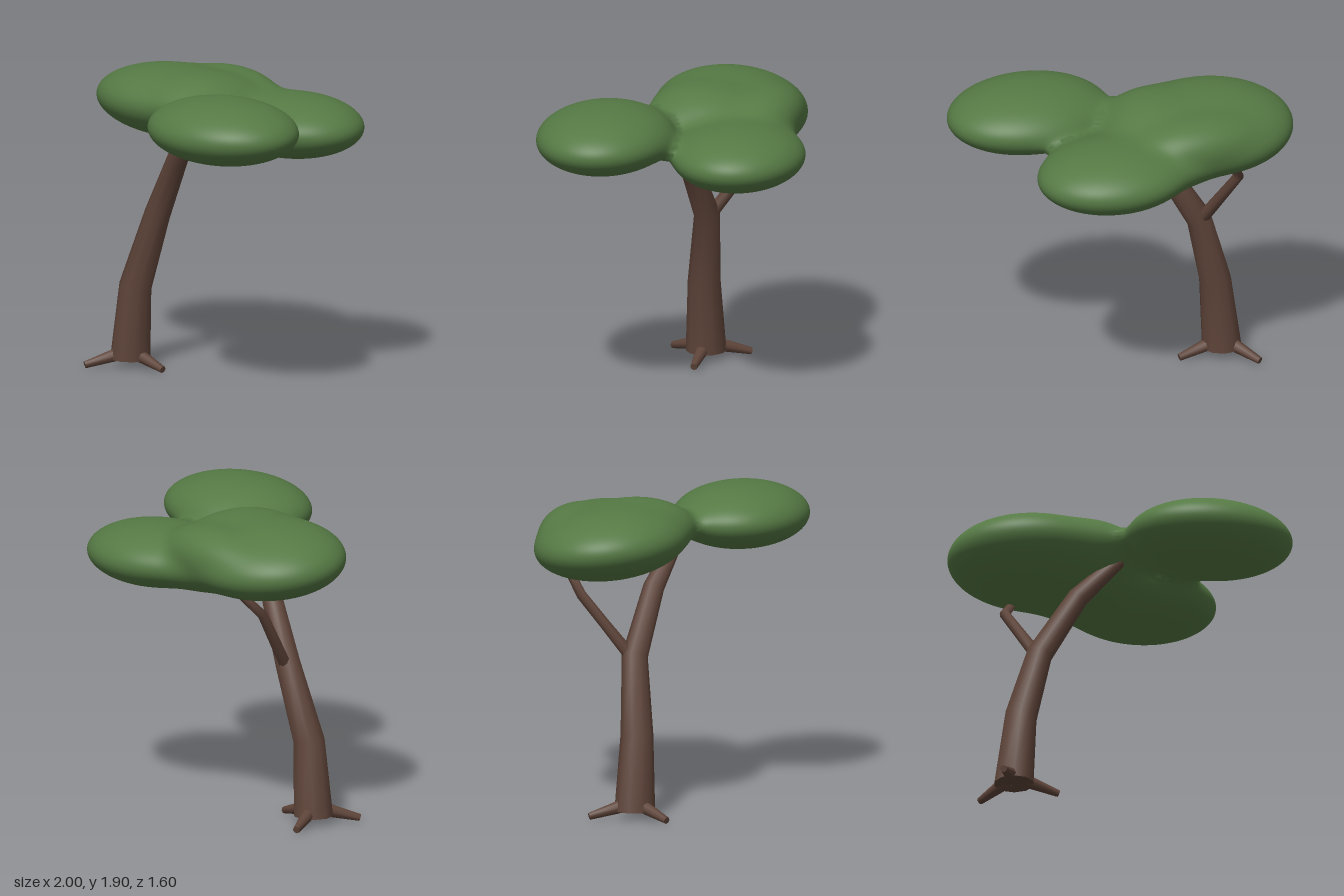
import * as THREE from 'three';
import { mergeVertices } from 'three/addons/utils/BufferGeometryUtils.js';

const V = (x, y, z) => new THREE.Vector3(x, y, z);

// Tapered limb through points [x, y, z, radius], with flat caps
function limb(points, sides) {
  const pts = points.map(p => V(p[0], p[1], p[2]));
  const last = pts.length - 1;
  const pos = [], index = [];
  const ring = (i) => {
    const t = V(0, 0, 0);
    if (i > 0) t.add(pts[i].clone().sub(pts[i - 1]).normalize());
    if (i < last) t.add(pts[i + 1].clone().sub(pts[i]).normalize());
    t.normalize();
    if (i === 0 && t.y > 0.9) t.set(0, 1, 0); // level foot
    const ref = Math.abs(t.y) > 0.6 ? V(0, 0, 1) : V(0, 1, 0);
    const u = ref.clone().cross(t).normalize();
    const w = t.clone().cross(u);
    for (let j = 0; j < sides; j++) {
      const a = j / sides * Math.PI * 2;
      const p = pts[i].clone()
        .addScaledVector(u, Math.cos(a) * points[i][3])
        .addScaledVector(w, Math.sin(a) * points[i][3]);
      pos.push(p.x, p.y, p.z);
    }
  };
  for (let i = 0; i <= last; i++) ring(i);
  for (let i = 0; i < last; i++) {
    for (let j = 0; j < sides; j++) {
      const a = i * sides + j, b = i * sides + (j + 1) % sides;
      index.push(a, b, b + sides, a, b + sides, a + sides);
    }
  }
  // Caps use their own vertices so that their edges stay sharp
  for (const end of [0, last]) {
    const s = pos.length / 3;
    ring(end);
    for (let j = 1; j < sides - 1; j++) {
      if (end) index.push(s, s + j, s + j + 1);
      else index.push(s, s + j + 1, s + j);
    }
  }
  const g = new THREE.BufferGeometry();
  g.setAttribute('position', new THREE.Float32BufferAttribute(pos, 3));
  g.setIndex(index);
  g.computeVertexNormals();
  return g;
}

// Foliage pads: centre, radii and tilt about x
const pads = [
  { name: 'leftFoliage', c: V(-0.46, 1.66, -0.15), r: V(0.54, 0.222, 0.46), tilt: -0.1 },
  { name: 'middleFoliage', c: V(-0.14, 1.655, -0.17), r: V(0.31, 0.212, 0.41), tilt: -0.2 },
  { name: 'rearFoliage', c: V(-0.28, 1.72, -0.42), r: V(0.34, 0.135, 0.19), tilt: 0 },
  { name: 'frontFoliage', c: V(0.49, 1.705, 0.39), r: V(0.51, 0.2, 0.41), tilt: 0 },
  { name: 'backFoliage', c: V(0.28, 1.587, -0.4), r: V(0.475, 0.192, 0.4), tilt: 0 },
];
const X = V(1, 0, 0);

// Soft union of the pads: above 1 is inside
function field(p) {
  let f = 0;
  for (const b of pads) {
    const q = p.clone().sub(b.c).applyAxisAngle(X, -b.tilt).divide(b.r);
    f += Math.exp(-3.3 * (q.lengthSq() - 1));
  }
  return f;
}

// Outward normal of the soft union
function slope(p) {
  const e = 0.002, f = field(p);
  return V(f - field(V(p.x + e, p.y, p.z)), f - field(V(p.x, p.y + e, p.z)),
    f - field(V(p.x, p.y, p.z + e))).normalize();
}

// A ball pushed out to the soft union, so neighbouring pads melt together
function foliage(pad) {
  let g = new THREE.IcosahedronGeometry(1, 20);
  g.deleteAttribute('uv');
  g.deleteAttribute('normal');
  g = mergeVertices(g);
  const pos = g.attributes.position, normals = [], d = V(0, 0, 0);
  for (let i = 0; i < pos.count; i++) {
    d.fromBufferAttribute(pos, i).multiply(pad.r).applyAxisAngle(X, pad.tilt);
    const at = s => pad.c.clone().addScaledVector(d, s);
    let lo = 0.9, hi = 1.22;
    for (let k = 0; k < 16; k++) {
      const mid = (lo + hi) / 2;
      if (field(at(mid)) > 1) lo = mid; else hi = mid;
    }
    const p = at(lo);
    pos.setXYZ(i, p.x, p.y, p.z);
    normals.push(...slope(p).toArray());
  }
  g.setAttribute('normal', new THREE.Float32BufferAttribute(normals, 3));
  return g;
}

export function createModel() {
  const bark = new THREE.MeshStandardMaterial({ color: 0x5e4439 });
  bark.name = 'bark';
  const leaf = new THREE.MeshStandardMaterial({ color: 0x557944 });
  leaf.name = 'leaf';

  const tree = new THREE.Group();
  tree.name = 'tree';
  const add = (name, geometry, material) => {
    const m = new THREE.Mesh(geometry, material);
    m.name = name;
    tree.add(m);
  };

  // Leaning trunk
  add('trunk', limb([
    [-0.66, 0.05, 0.065, 0.124],
    [-0.615, 0.51, 0.065, 0.1],
    [-0.48, 0.97, 0.01, 0.08],
    [-0.25, 1.36, 0.06, 0.065],
    [-0.01, 1.61, 0.13, 0.045],
  ], 10), bark);

  // Side branch with an elbow
  add('branch', limb([
    [-0.48, 0.95, 0.0, 0.04],
    [-0.61, 1.355, -0.29, 0.032],
    [-0.52, 1.49, -0.4, 0.026],
  ], 8), bark);

  // Three roots spread evenly
  for (let i = 0; i < 3; i++) {
    const a = i * Math.PI * 2 / 3;
    const at = (d, y, r) => [-0.66 + Math.cos(a) * d, y, 0.065 + Math.sin(a) * d, r];
    add('root', limb([at(0.04, 0.09, 0.046), at(0.285, 0.023, 0.022)], 8), bark);
  }

  for (const pad of pads) add(pad.name, foliage(pad), leaf);
  return tree;
}
